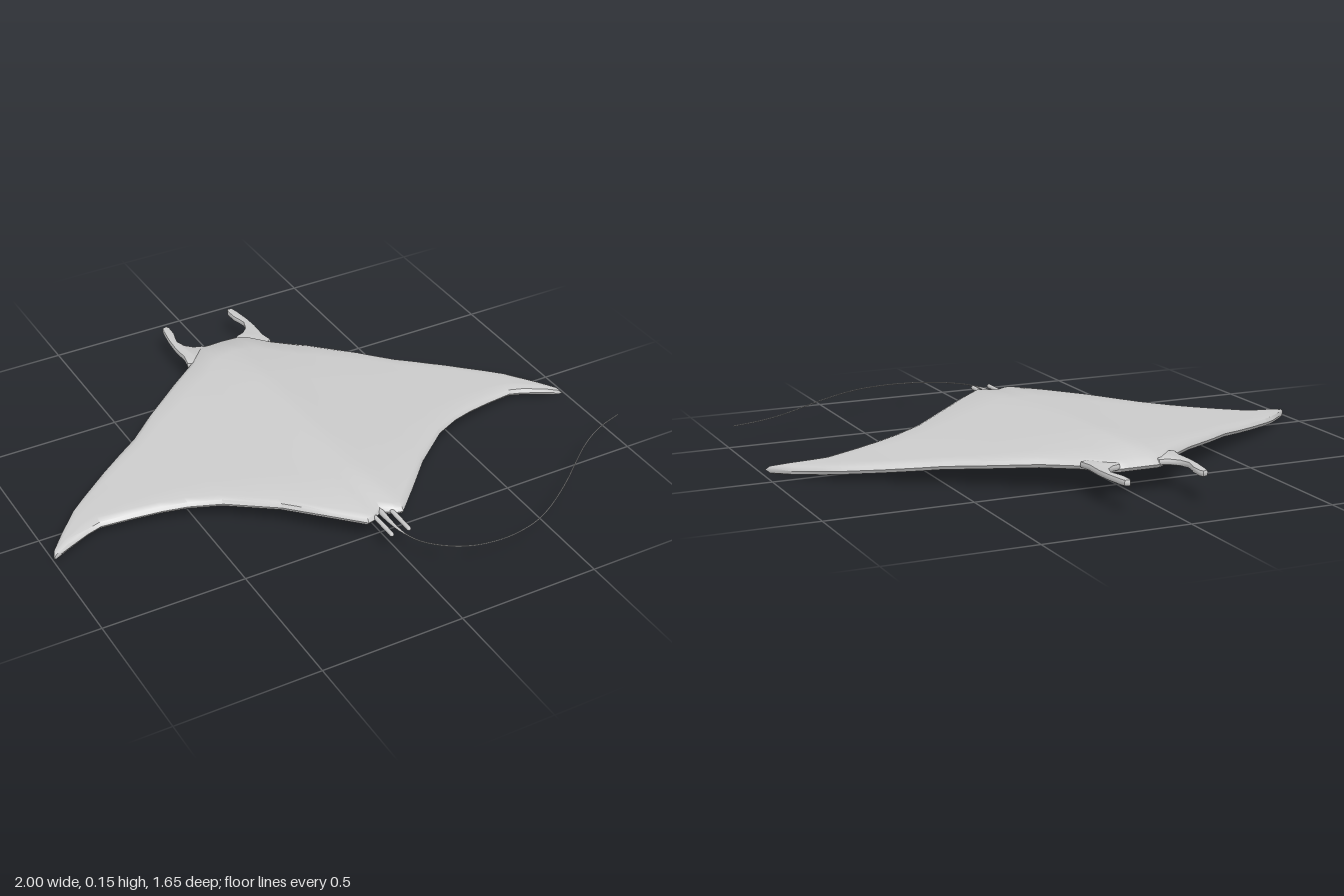
import * as THREE from 'three';
import { toCreasedNormals } from 'three/addons/utils/BufferGeometryUtils.js';

const CX = -0.007; // the body's middle line; the tail swings out to +x
const MID_Y = 0.105;
const material = new THREE.MeshStandardMaterial({ color: 0xcccccc, side: THREE.DoubleSide });

// Half-span stations: [distance from middle, front z, back z, mid height, half thickness, back bulge]
const STATIONS = [
  [0, -0.65, 0.51, 0.104, 0.018, 0.034],
  [0.04, -0.65, 0.54, 0.104, 0.018, 0.028],
  [0.065, -0.65, 0.545, 0.104, 0.018, 0.025],
  [0.09, -0.64, 0.52, 0.104, 0.018, 0.021],
  [0.16, -0.565, 0.45, 0.104, 0.018, 0.012],
  [0.27, -0.48, 0.335, 0.101, 0.018, 0.003],
  [0.42, -0.365, 0.205, 0.086, 0.018, 0],
  [0.52, -0.28, 0.15, 0.075, 0.018, 0],
  [0.6, -0.23, 0.12, 0.066, 0.018, 0],
  [0.69, -0.17, 0.095, 0.056, 0.018, 0],
  [0.8, -0.09, 0.07, 0.044, 0.018, 0],
  [0.85, -0.05, 0.08, 0.039, 0.018, 0],
  [0.93, 0.035, 0.105, 0.029, 0.017, 0],
  [0.98, 0.095, 0.122, 0.022, 0.012, 0],
  [0.993, 0.125, 0.125, 0.02, 0, 0],
];
const BULGE = [[0, 0.3], [0.1, 1], [0.3, 1], [0.55, 0.95], [0.8, 0.6], [1, 0.1]];

// One closed section: rounded leading edge, domed top, rounded trailing edge, flat belly
function ring([, zf, zb, y, h, bulge]) {
  const r = Math.min(0.03, (zb - zf) * 0.35);
  const at = t => THREE.MathUtils.lerp(zf + r, zb - r, t);
  return [
    [zf, y], [zf + 0.3 * r, y + 0.7 * h],
    ...BULGE.map(([t, k]) => [at(t), y + h + bulge * k]),
    [zb - 0.3 * r, y + 0.7 * h], [zb, y], [zb - 0.3 * r, y - 0.7 * h],
    ...BULGE.map(([t]) => [at(1 - t), y - h]),
    [zf + 0.3 * r, y - 0.7 * h],
  ];
}

function bodyGeometry() {
  const mirrored = STATIONS.slice(1).reverse().map(s => [-s[0], ...s.slice(1)]);
  const sections = [...mirrored, ...STATIONS];
  const positions = [], index = [];
  let n = 0;
  sections.forEach(s => {
    const pts = ring(s);
    n = pts.length;
    pts.forEach(([z, y]) => positions.push(CX + s[0], y, z));
  });
  for (let i = 0; i < sections.length - 1; i++) {
    for (let j = 0; j < n; j++) {
      const a = i * n + j, b = i * n + (j + 1) % n;
      index.push(a, b, b + n, a, b + n, a + n);
    }
  }
  const geometry = new THREE.BufferGeometry();
  geometry.setAttribute('position', new THREE.Float32BufferAttribute(positions, 3));
  geometry.setIndex(index);
  return toCreasedNormals(geometry, 0.7);
}

// Head fin outline in x and z, drawn for the left side
const HORN = [
  [0.06, -0.62], [0.07, -0.645], [0.1, -0.655], [0.125, -0.68], [0.136, -0.715], [0.131, -0.74],
  [0.122, -0.77], [0.12, -0.815], [0.127, -0.83], [0.145, -0.825], [0.151, -0.8], [0.16, -0.74],
  [0.164, -0.68], [0.161, -0.61], [0.17, -0.565], [0.12, -0.54],
];
function hornGeometry(side) {
  const shape = new THREE.Shape(HORN.map(([x, z]) => new THREE.Vector2(CX + side * x, z)));
  const geometry = new THREE.ExtrudeGeometry(shape, {
    depth: 0.008, bevelThickness: 0.007, bevelSize: 0.006, bevelOffset: -0.006, bevelSegments: 2,
  });
  geometry.rotateX(Math.PI / 2).translate(0, MID_Y + 0.009, 0);
  return toCreasedNormals(geometry, 0.7);
}

// Whip tail: a tube whose rings are scaled about the path so that it thins out
function tailGeometry() {
  const path = new THREE.CatmullRomCurve3([
    [CX, 0.5], [CX, 0.58], [0.001, 0.645], [0.025, 0.705], [0.08, 0.762], [0.15, 0.802], [0.22, 0.819],
    [0.3, 0.821], [0.4, 0.8], [0.48, 0.762], [0.6, 0.68], [0.8, 0.52], [0.9, 0.463], [1, 0.43],
  ].map(([x, z]) => new THREE.Vector3(x, MID_Y - 0.002, z)));
  const segments = 64, sides = 6;
  const geometry = new THREE.TubeGeometry(path, segments, 1, sides);
  const p = geometry.attributes.position, v = new THREE.Vector3();
  for (let i = 0; i <= segments; i++) {
    const centre = path.getPointAt(i / segments);
    const radius = 0.002 + 0.009 * Math.max(0, 1 - i / segments / 0.12);
    for (let j = 0; j <= sides; j++) {
      const k = i * (sides + 1) + j;
      v.fromBufferAttribute(p, k).sub(centre).multiplyScalar(radius).add(centre);
      p.setXYZ(k, v.x, v.y, v.z);
    }
  }
  return geometry;
}

export function createModel() {
  const model = new THREE.Group();
  const add = (name, geometry) => {
    const mesh = new THREE.Mesh(geometry, material);
    mesh.name = name;
    model.add(mesh);
    return mesh;
  };
  add('bodyAndWings', bodyGeometry());
  add('tail', tailGeometry());
  for (const side of [1, -1]) {
    const label = side > 0 ? 'left' : 'right';
    add(label + 'HeadFin', hornGeometry(side));
    // Small finger-like fin beside the tail root
    const fin = new THREE.CapsuleGeometry(0.008, 0.105, 3, 8).rotateX(Math.PI / 2);
    add(label + 'PelvicFin', fin).position.set(CX + side * 0.032, MID_Y, 0.58);
  }
  return model;
}
